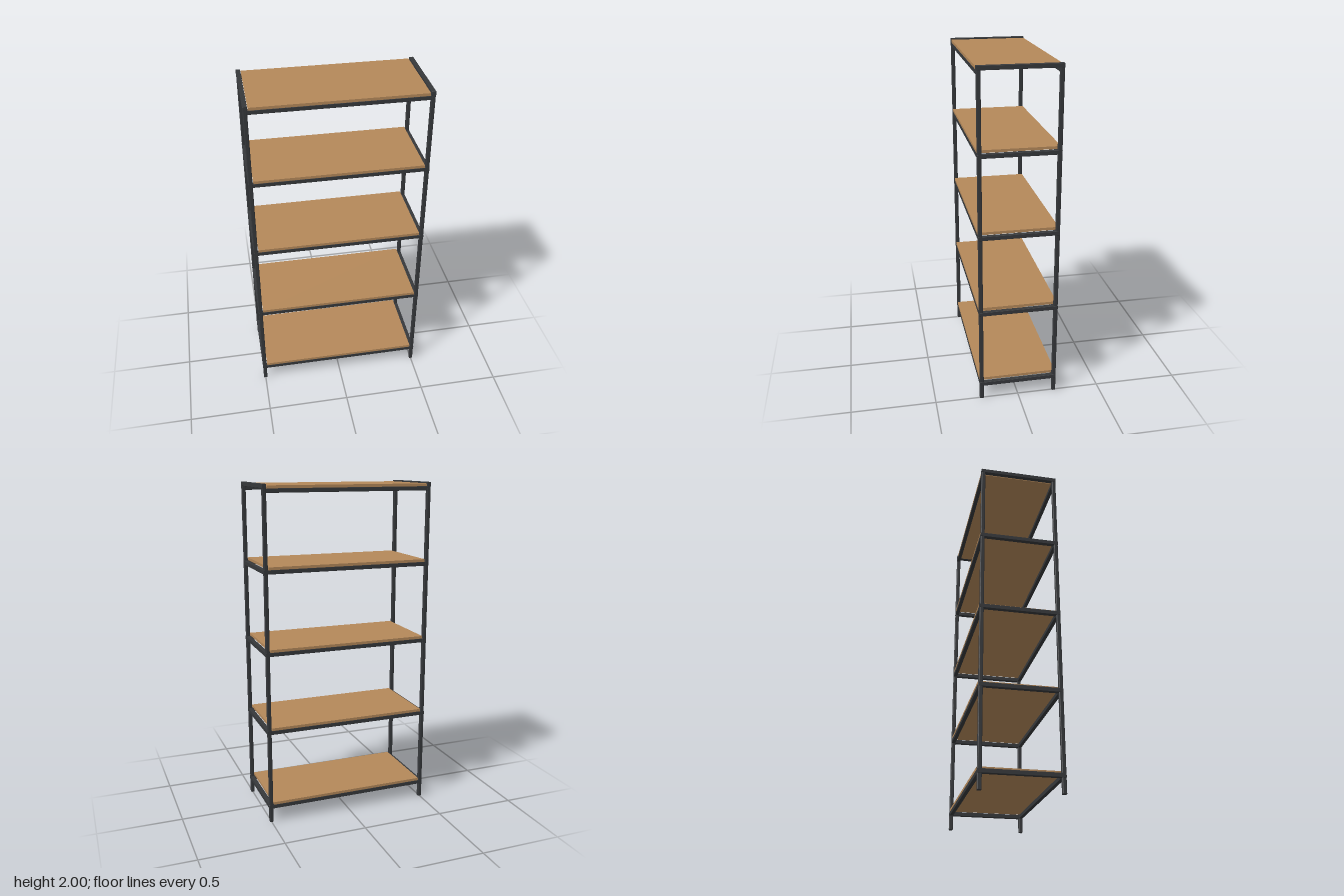
import * as THREE from 'three';
import { RoundedBoxGeometry } from 'three/addons/geometries/RoundedBoxGeometry.js';

export function createModel() {
  const model = new THREE.Group();
  model.name = 'shelvingUnit';

  const metal = new THREE.MeshStandardMaterial({ color: 0x36383b });
  metal.name = 'charcoalMetal';
  const wood = new THREE.MeshStandardMaterial({ color: 0xb5895a });
  wood.name = 'oakWood';

  const postX = 0.5, postZ = 0.222;   // post centre lines
  const tube = 0.024;                 // square tube width
  const boardThickness = 0.016;

  function add(name, geometry, material, x, y, z, parent = model) {
    const mesh = new THREE.Mesh(geometry, material);
    mesh.name = name;
    mesh.position.set(x, y, z);
    parent.add(mesh);
  }

  // Four upright posts with softened corners
  const postGeometry = new RoundedBoxGeometry(tube - 0.001, 1.995, tube, 3, 0.005);
  for (const x of [-postX, postX]) {
    for (const z of [-postZ, postZ]) add('post', postGeometry, metal, x, 0.9975, z);
  }

  const sideRail = new RoundedBoxGeometry(tube + 0.001, tube, 2 * postZ + tube, 2, 0.002);
  const longRail = new RoundedBoxGeometry(2 * postX - tube + 0.01, tube, tube - 0.002, 2, 0.002);
  const board = new THREE.BoxGeometry(0.968, boardThickness, 2 * postZ + 0.02);

  // Shelves: long rails front and back, side rails, board resting on top
  const railTops = [0.112, 0.584, 1.058, 1.532, 1.976];
  railTops.forEach((top, i) => {
    const shelf = new THREE.Group();
    shelf.name = 'shelf';
    model.add(shelf);

    const railY = top - tube / 2;
    for (const side of [-1, 1]) {
      add('longRail', longRail, metal, 0, railY, side * postZ, shelf);
      // The topmost side rails cap the posts
      const sideY = i === railTops.length - 1 ? 2 - tube / 2 : railY;
      add('sideRail', sideRail, metal, side * postX, sideY, 0, shelf);
    }
    add('board', board, wood, 0, top + boardThickness / 2, 0, shelf);
  });

  return model;
}
